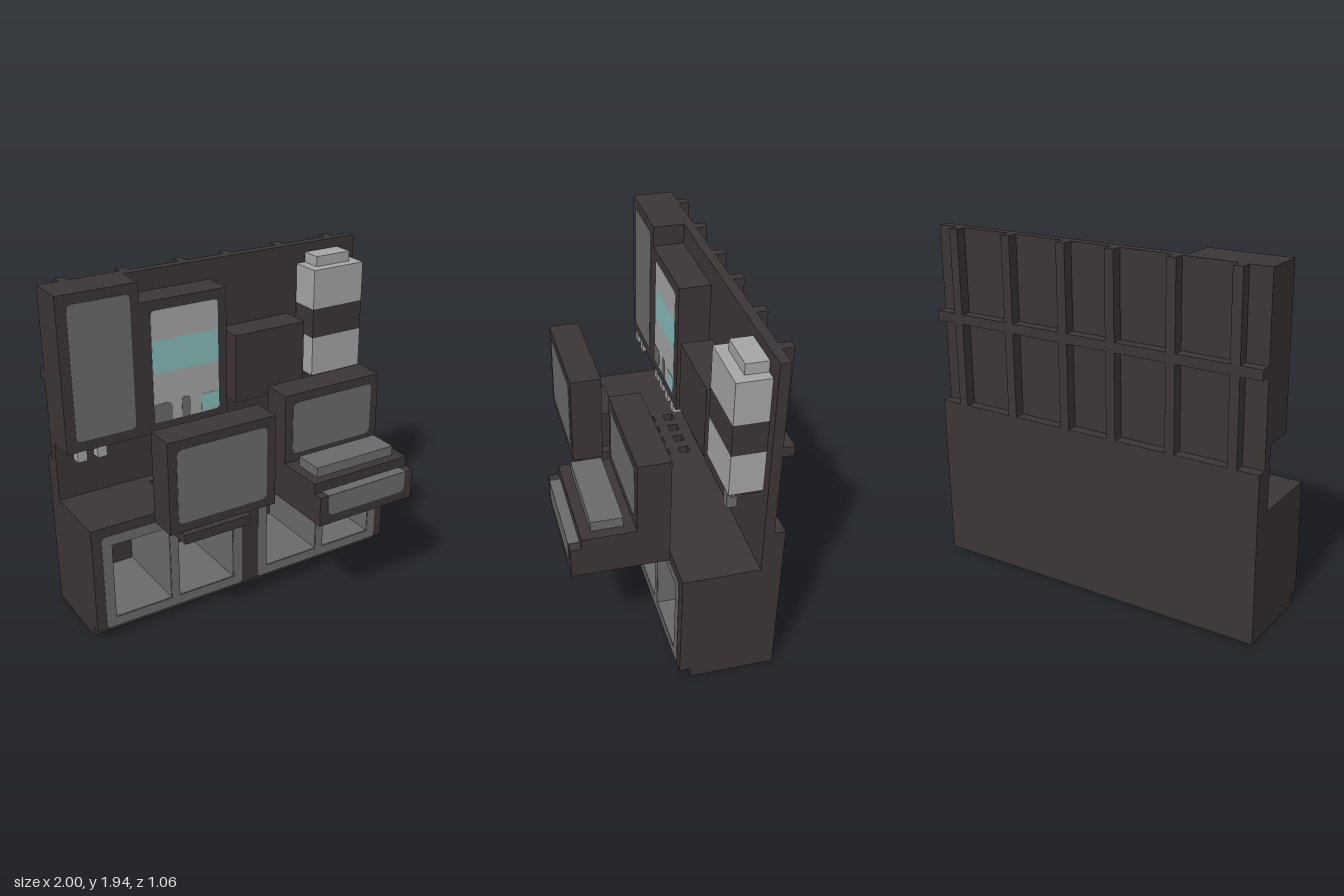
import * as THREE from 'three';

const mat = (name, color) => {
  const m = new THREE.MeshStandardMaterial({ color });
  m.name = name;
  return m;
};

export function createModel() {
  const dark = mat('dark casing', 0x3d3535);
  const grey = mat('mid grey panel', 0x6a6a6a);
  const light = mat('light grey', 0xa5a5a5);
  const teal = mat('teal label', 0x84bcbb);
  const root = new THREE.Group();

  const add = (name, geo, m, parent = root) => {
    const mesh = new THREE.Mesh(geo, m);
    mesh.name = name;
    parent.add(mesh);
    return mesh;
  };
  // Box given by its minimum and maximum on each axis
  const box = (name, m, x0, x1, y0, y1, z0, z1, parent = root) =>
    add(name, new THREE.BoxGeometry(x1 - x0, y1 - y0, z1 - z0), m, parent)
      .position.set((x0 + x1) / 2, (y0 + y1) / 2, (z0 + z1) / 2);
  const group = (name) => {
    const g = new THREE.Group();
    g.name = name;
    root.add(g);
    return g;
  };
  const rectPath = (P, x0, x1, y0, y1, rb = 0, rt = rb) => {
    const p = new P();
    p.moveTo(x0 + rb, y0);
    p.lineTo(x1 - rb, y0);
    if (rb) p.quadraticCurveTo(x1, y0, x1, y0 + rb);
    p.lineTo(x1, y1 - rt);
    if (rt) p.quadraticCurveTo(x1, y1, x1 - rt, y1);
    p.lineTo(x0 + rt, y1);
    if (rt) p.quadraticCurveTo(x0, y1, x0, y1 - rt);
    p.lineTo(x0, y0 + rb);
    if (rb) p.quadraticCurveTo(x0, y0, x0 + rb, y0);
    return p;
  };
  // Thin painted plate on a front-facing surface at depth z
  const plate = (name, m, x0, x1, y0, y1, z, parent, rb = 0.03, rt = rb, holes = []) => {
    const s = rectPath(THREE.Shape, x0, x1, y0, y1, rb, rt);
    s.holes = holes;
    add(name, new THREE.ExtrudeGeometry(s, { depth: 0.004, bevelEnabled: false, curveSegments: 4 }), m, parent)
      .position.z = z;
  };

  // Counter carcass with four open bays
  const counter = group('counter');
  box('toeKick', dark, -1, 1, 0, 0.06, -0.53, -0.06, counter);
  box('counterFloor', dark, -1, 1, 0.06, 0.12, -0.53, 0, counter);
  box('counterBack', dark, -1, 1, 0.12, 0.59, -0.53, -0.51, counter);
  for (const [a, b] of [[-1, -0.885], [-0.53, -0.48], [-0.115, 0.115], [0.48, 0.53], [0.885, 1]])
    box('counterPost', dark, a, b, 0.12, 0.59, -0.51, 0, counter);

  // Worktop with drain holes opening into the bay below
  const columns = [-0.47, -0.355, -0.24, -0.12];
  const top = rectPath(THREE.Shape, -1, 1, 0, 0.53);
  for (const x of columns)
    for (const d of [0.176, 0.293]) top.holes.push(rectPath(THREE.Path, x, x + 0.058, d, d + 0.058));
  const topGeo = new THREE.ExtrudeGeometry(top, { depth: 0.115, bevelEnabled: false });
  topGeo.rotateX(-Math.PI / 2).translate(0, 0.59, 0);
  add('worktop', topGeo, dark, counter);

  // Grey frames and bay linings
  for (const s of [-1, 1]) {
    const bays = [[0.115, 0.48], [0.53, 0.885]].map(([a, b]) => (s > 0 ? [a, b] : [-b, -a]));
    const [f0, f1] = s > 0 ? [0.057, 0.942] : [-0.942, -0.057];
    plate('bayFrame', grey, f0, f1, 0.062, 0.65, -0.001, counter, 0.025, 0.025,
      bays.map(([a, b]) => rectPath(THREE.Path, a, b, 0.12, 0.59)));
    for (const [a, b] of bays) {
      box('bayFloor', grey, a, b, 0.12, 0.124, -0.51, 0, counter);
      box('baySide', grey, a, a + 0.004, 0.12, 0.59, -0.51, 0, counter);
      box('baySide', grey, b - 0.004, b, 0.12, 0.59, -0.51, 0, counter);
      if (a !== -0.48) box('bayCeiling', grey, a, b, 0.586, 0.59, -0.51, 0, counter);
    }
  }

  // Back wall with battens behind
  const wall = group('backWall');
  box('wallPanel', dark, -1, 1, 0.705, 1.94, -0.47, -0.415, wall);
  box('lowerBackPanel', dark, -1, 1, 0.705, 0.94, -0.53, -0.47, wall);
  box('backRail', dark, -1, 1, 1.415, 1.47, -0.53, -0.47, wall);
  for (const x of [0.147, 0.5, 0.852])
    for (const s of [-1, 1])
      for (const [y0, y1] of [[0.94, 1.415], [1.47, 1.94]])
        box('backBatten', dark, s * x - 0.027, s * x + 0.027, y0, y1, -0.53, -0.47, wall);

  // Tall wall cabinet
  const tall = group('tallCabinet');
  box('tallBody', dark, -1, -0.535, 1.06, 1.94, -0.415, -0.238, tall);
  plate('tallDoor', grey, -0.942, -0.588, 1.12, 1.885, -0.239, tall);

  // Drink dispenser
  const disp = group('dispenser');
  box('dispenserBody', dark, -0.535, -0.004, 1.06, 1.825, -0.415, -0.238, disp);
  plate('dispenserFaceTop', light, -0.473, -0.06, 1.6, 1.77, -0.239, disp, 0, 0.025);
  plate('dispenserLabel', teal, -0.473, -0.06, 1.41, 1.6, -0.239, disp, 0);
  plate('dispenserFaceBottom', light, -0.473, -0.06, 1.12, 1.41, -0.239, disp, 0.025, 0);
  plate('selectorLeft', grey, -0.473, -0.36, 1.12, 1.23, -0.237, disp, 0, 0.03);
  plate('selectorMiddle', grey, -0.3, -0.245, 1.12, 1.24, -0.237, disp, 0, 0.02);
  plate('selectorRight', teal, -0.175, -0.06, 1.13, 1.23, -0.237, disp, 0, 0);
  for (const x of [-0.942, -0.825, ...columns])
    box('tap', light, x, x + 0.056, 1.0, 1.06, -0.295, -0.238, disp);

  // Plain wall box
  box('wallBox', dark, 0.057, 0.525, 1.12, 1.53, -0.415, -0.238);

  // Canister with cap, band and spout
  const can = group('canister');
  box('canisterLower', light, 0.588, 0.937, 1.178, 1.413, -0.415, -0.235, can);
  box('canisterBand', dark, 0.588, 0.937, 1.413, 1.59, -0.415, -0.235, can);
  box('canisterUpper', light, 0.588, 0.937, 1.59, 1.825, -0.415, -0.235, can);
  box('canisterCap', light, 0.645, 0.88, 1.825, 1.885, -0.415, -0.295, can);
  box('canisterBase', dark, 0.645, 0.88, 1.12, 1.178, -0.415, -0.295, can);
  box('spoutTop', grey, 0.705, 0.82, 1.06, 1.12, -0.352, -0.295, can);
  box('spoutTip', grey, 0.705, 0.758, 0.943, 1.06, -0.352, -0.295, can);

  // Monitor on a bracket
  const mon = group('monitor');
  box('monitorBody', dark, -0.705, -0.06, 0.768, 1.295, 0.178, 0.352, mon);
  plate('monitorScreen', grey, -0.655, -0.115, 0.82, 1.245, 0.351, mon, 0.035);
  box('monitorNeck', dark, -0.53, -0.237, 0.705, 0.94, 0.06, 0.235, mon);
  box('monitorFoot', dark, -0.59, -0.18, 0.648, 0.705, 0.06, 0.295, mon);
  box('monitorArm', dark, -0.47, -0.3, 0.648, 0.705, 0, 0.06, mon);

  // Cash register
  const reg = group('register');
  box('registerDrawerCase', dark, 0.12, 0.76, 0.65, 0.825, 0, 0.525, reg);
  box('registerDeck', dark, 0.12, 0.76, 0.825, 0.885, 0, 0.467, reg);
  box('registerTower', dark, 0.12, 0.76, 0.885, 1.295, 0, 0.177, reg);
  plate('registerScreen', grey, 0.17, 0.71, 0.935, 1.245, 0.176, reg, 0.035);
  box('registerKeypad', grey, 0.178, 0.702, 0.885, 0.942, 0.236, 0.408, reg);
  plate('drawerFront', grey, 0.172, 0.705, 0.705, 0.827, 0.524, reg, 0.035, 0);
  box('drawerTop', grey, 0.172, 0.705, 0.822, 0.828, 0.467, 0.525, reg);

  return root;
}
